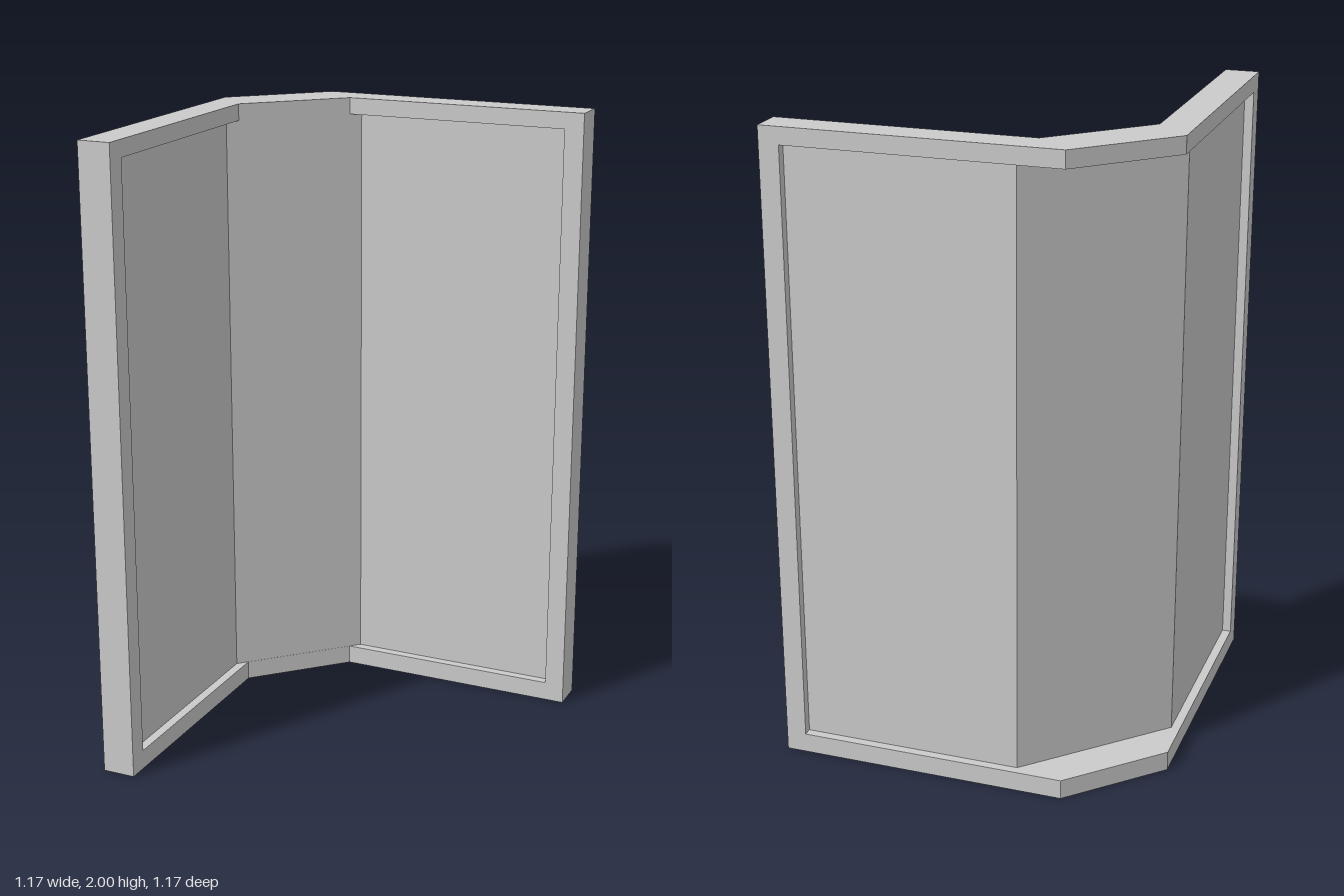
import * as THREE from 'three';

const material = new THREE.MeshStandardMaterial({ color: 0xcccccc, flatShading: true });

// Builds a closed plan outline from half of each side, mirrored across the x = z diagonal.
// Each half runs from the free end [x, z] to the corner bend.
function planOutline(outerHalf, innerHalf) {
  const swap = (half) => [...half].reverse().map(([x, z]) => [z, x]);
  const outer = [...outerHalf, ...swap(outerHalf)];
  const inner = [...innerHalf, ...swap(innerHalf)].reverse();
  return new THREE.Shape([...outer, ...inner].map(([x, z]) => new THREE.Vector2(x, -z)));
}

// Extrudes a plan upward between two heights.
function addPrism(group, name, shape, y0, y1) {
  const geometry = new THREE.ExtrudeGeometry(shape, { depth: y1 - y0, bevelEnabled: false });
  geometry.rotateX(-Math.PI / 2);
  const mesh = new THREE.Mesh(geometry, material);
  mesh.name = name;
  mesh.position.y = y0;
  group.add(mesh);
}

export function createModel() {
  const group = new THREE.Group();
  group.name = 'corneredFrame';

  const E = 0.583;      // outer extent
  const I = 0.477;      // inner face of the frame
  const post = 0.063;   // width of the end posts
  const yLow = 0.062, yHigh = 1.947;

  // Top and bottom rails follow the chamfered corner
  const rail = planOutline([[-E, E], [-E, -0.32]], [[-I, E], [-I, -0.21]]);
  addPrism(group, 'bottomRail', rail, 0, yLow);
  addPrism(group, 'topRail', rail, yHigh, 2);

  // Inset panel folded around the corner
  const panel = planOutline(
    [[-0.555, E - post], [-0.555, -0.172]],
    [[-0.507, E - post], [-0.507, -0.181]]
  );
  addPrism(group, 'foldedPanel', panel, yLow, yHigh);

  // Posts at the two free ends
  for (const swapped of [false, true]) {
    const w = E - I;
    const size = swapped ? [post, w] : [w, post];
    const mesh = new THREE.Mesh(new THREE.BoxGeometry(size[0], yHigh - yLow, size[1]), material);
    const across = -(E + I) / 2, along = E - post / 2;
    mesh.position.set(swapped ? along : across, (yLow + yHigh) / 2, swapped ? across : along);
    mesh.name = swapped ? 'leftEndPost' : 'frontEndPost';
    group.add(mesh);
  }
  return group;
}
